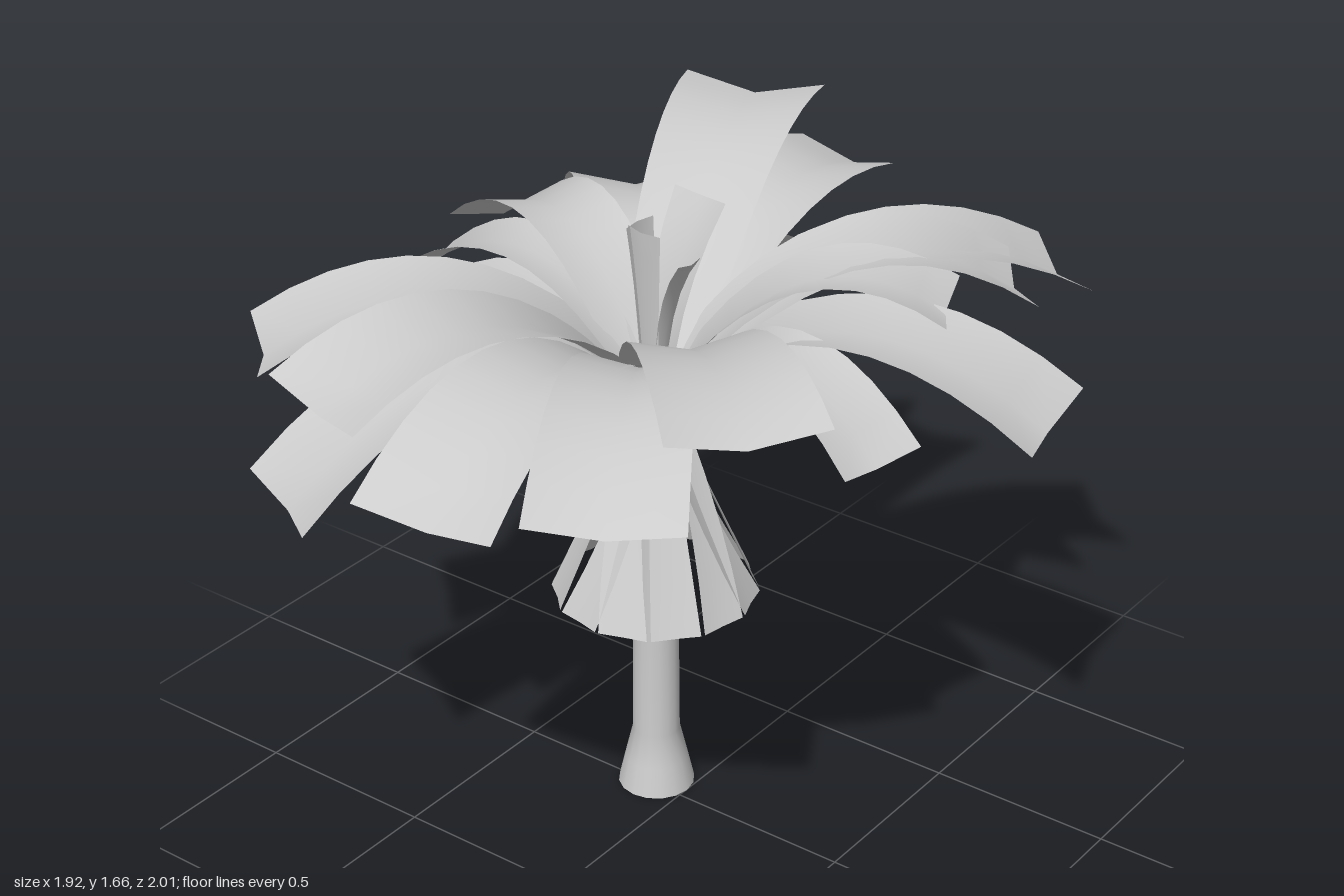
import * as THREE from 'three';

const AXIS_X = -0.1, AXIS_Z = -0.03;
const material = new THREE.MeshStandardMaterial({ color: 0xcccccc, side: THREE.DoubleSide });

// Folded strip along a curve: two halves meeting in a lower midrib
function strip(name, curve, across, widthAt, fold, steps) {
  const pos = [], index = [];
  for (let i = 0; i <= steps; i++) {
    const t = i / steps, p = curve.getPoint(t), w = widthAt(t);
    const up = curve.getTangent(t).cross(across).normalize();
    if (up.y < 0) up.negate();
    for (const s of [-1, 0, 1]) {
      const q = p.clone().addScaledVector(across, s * w / 2)
        .addScaledVector(up, (Math.abs(s) - 0.5) * fold * w);
      pos.push(q.x, q.y, q.z);
    }
    if (i < steps) for (let k = 0; k < 2; k++) {
      const a = i * 3 + k;
      index.push(a, a + 1, a + 4, a, a + 4, a + 3);
    }
  }
  const g = new THREE.BufferGeometry();
  g.setAttribute('position', new THREE.Float32BufferAttribute(pos, 3));
  g.setIndex(index);
  g.computeVertexNormals();
  const mesh = new THREE.Mesh(g, material);
  mesh.name = name;
  return mesh;
}

// Strip leaving the trunk axis at an angle; profile points are [radius, height].
// lean swings its start around the axis, roll tips one side up.
function radialStrip(name, angle, profile, widthAt, fold, steps, lean = 0, roll = 0) {
  const pts = profile.map(([r, y], i) => {
    const a = angle + lean * (1 - i / 2);
    return new THREE.Vector3(Math.cos(a) * r, y, Math.sin(a) * r);
  });
  const curve = new THREE.QuadraticBezierCurve3(...pts);
  const across = new THREE.Vector3(-Math.sin(angle) * Math.cos(roll), Math.sin(roll),
    Math.cos(angle) * Math.cos(roll));
  return strip(name, curve, across, widthAt, fold, steps);
}

export function createModel() {
  const palm = new THREE.Group();
  palm.name = 'palmTree';
  palm.position.set(AXIS_X, 0, AXIS_Z);

  // Trunk with flared foot and chamfered top
  const profile = [[0.102, 0], [0.084, 0.08], [0.063, 0.17], [0.06, 0.6], [0.06, 1.0],
    [0.066, 1.05], [0.065, 1.085], [0.04, 1.115], [0, 1.12]].map(p => new THREE.Vector2(...p));
  const trunk = new THREE.Mesh(new THREE.LatheGeometry(profile, 16), material);
  trunk.name = 'trunk';
  palm.add(trunk);

  // Skirt of hanging dry leaves, leaning both ways
  const skirt = new THREE.Group();
  skirt.name = 'drySkirt';
  for (let i = 0; i < 12; i++) {
    skirt.add(radialStrip('dryLeaf', i / 12 * Math.PI * 2 + 0.2,
      [[0.066, 1.06], [0.155, 0.84], [0.26, 0.6]], t => 0.06 + 0.07 * t, 0.04, 4,
      (i % 3 - 1) * 0.6));
  }
  palm.add(skirt);

  // Short twisted leaf stubs fanning out under the crown
  const stubs = new THREE.Group();
  stubs.name = 'leafStubs';
  for (let i = 0; i < 14; i++) {
    stubs.add(radialStrip('leafStub', i / 14 * Math.PI * 2,
      [[0.01, 1.12], [0.09, 1.17], [0.175, 1.24]],
      t => 0.02 + 0.12 * t, 0.08, 3, 0, i % 2 ? 0.8 : -0.5));
  }
  palm.add(stubs);

  // Crown leaves: tip x, tip z, tip height, tip width, arch control height
  const leaves = [
    [0.55, -0.89, 1.37, 0.37, 1.70], [0.56, -0.66, 1.42, 0.35, 1.74],
    [0.55, -0.35, 1.47, 0.30, 1.70], [0.91, -0.25, 1.30, 0.38, 1.66],
    [0.67, 0.12, 1.28, 0.25, 1.64], [0.65, 0.62, 1.55, 0.38, 1.72],
    [0.43, 0.85, 1.35, 0.37, 1.68], [0.01, 0.97, 1.28, 0.38, 1.66],
    [-0.38, 0.89, 1.42, 0.38, 1.71], [-0.55, 0.85, 1.09, 0.37, 1.59],
    [-0.77, 0.67, 1.37, 0.36, 1.69], [-0.91, 0.15, 1.13, 0.32, 1.59],
    [-0.86, -0.04, 1.31, 0.25, 1.65], [-0.83, -0.32, 1.37, 0.30, 1.70],
    [-0.78, -0.82, 1.26, 0.38, 1.66], [-0.42, -0.90, 1.63, 0.38, 1.70],
    [-0.13, -0.96, 1.48, 0.35, 1.68], [-0.36, -0.83, 1.16, 0.32, 1.60],
  ];
  const crown = new THREE.Group();
  crown.name = 'crown';
  for (const [x, z, y, w, arch] of leaves) {
    const dx = x - AXIS_X, dz = z - AXIS_Z, r = Math.hypot(dx, dz);
    crown.add(radialStrip('leaf', Math.atan2(dz, dx),
      [[0.05, 1.22], [r * 0.5, arch], [r, y]],
      t => w * (0.45 + 0.55 * Math.sqrt(t)), 0.11, 10));
  }
  palm.add(crown);

  // Young upright leaves in the middle: angle, top radius, top height, width
  const shoots = new THREE.Group();
  shoots.name = 'youngLeaves';
  for (const [a, r, y, w] of [[-1.45, 0.17, 1.65, 0.17], [1.7, 0.04, 1.62, 0.11],
    [0.1, 0.12, 1.56, 0.08], [3.2, 0.05, 1.62, 0.1]]) {
    shoots.add(radialStrip('youngLeaf', a, [[0.02, 1.2], [0.03, 1.45], [r, y]],
      t => w * (0.5 + 0.5 * t), 0.1, 5));
  }
  palm.add(shoots);

  const root = new THREE.Group();
  root.name = 'model';
  root.add(palm);
  return root;
}
